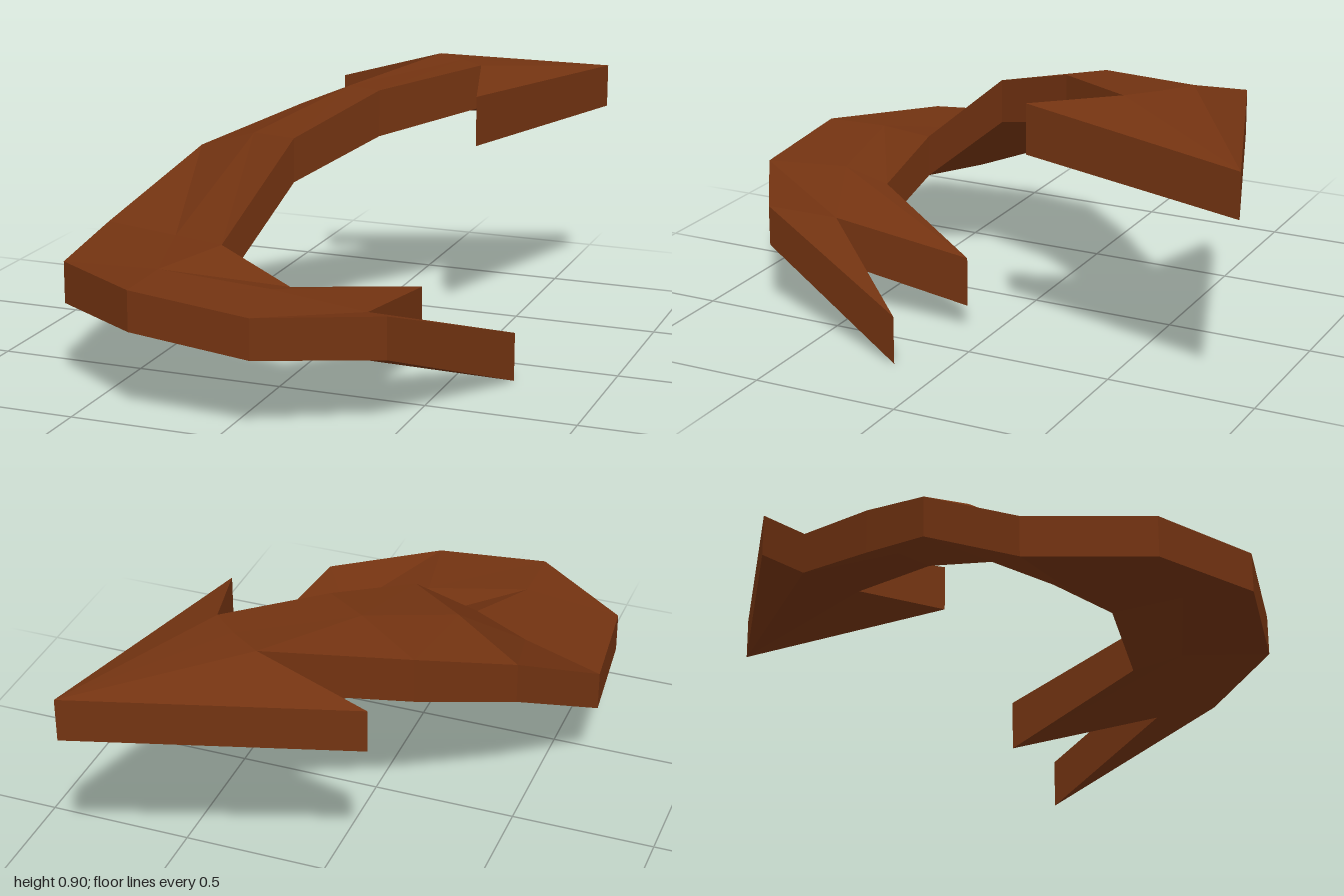
import * as THREE from 'three';

// Plan corners of the bent hook: [x, z, top y, bottom y]
const corners = {
  // arrow head
  tip: [0.68, -1.0, 0.83, 0.68], barbL: [-0.22, -0.67, 0.79, 0.64], barbR: [0.44, -0.18, 0.86, 0.69],
  neckL: [0.16, -0.635, 0.905, 0.75], neck: [0.27, -0.56, 0.905, 0.76], neckR: [0.36, -0.48, 0.905, 0.755],
  // shaft, three corners per station: outer edge, ridge, inner edge
  o1: [-0.24, -0.3, 0.76, 0.6], r1: [-0.04, -0.24, 0.85, 0.69], i1: [0.1, -0.16, 0.86, 0.7],
  o2: [-0.51, -0.04, 0.645, 0.5], r2: [-0.27, 0.06, 0.73, 0.58], i2: [-0.08, 0.17, 0.75, 0.6],
  o3: [-0.7, 0.31, 0.44, 0.3], r3: [-0.4, 0.42, 0.45, 0.31], i3: [-0.19, 0.52, 0.465, 0.32],
  // curved base
  b1: [-0.65, 0.735, 0.42, 0.28], b2: [-0.3, 0.99, 0.435, 0.3], b3: [0.11, 1.0, 0.395, 0.26],
  b4: [0.47, 0.775, 0.375, 0.235], m1: [-0.3, 0.765, 0.44, 0.3], m2: [0.06, 0.715, 0.4, 0.26],
  notch: [0.34, 0.59, 0.32, 0.16], crook: [0.06, 0.55, 0.36, 0.22],
  // prong tips
  prongOuter: [0.695, 0.17, 0.165, 0], prongInner: [0.345, 0.085, 0.26, 0.09],
};

// Panels of each part, counter-clockwise seen from above
const parts = {
  arrowHead: ['tip barbL neckL', 'tip neckL neck', 'tip neck neckR', 'tip neckR barbR'],
  shaft: [
    'neckL o1 r1 neck', 'neck r1 i1 neckR',
    'o1 o2 r2 r1', 'r1 r2 i2 i1',
    'o2 o3 r3 r2', 'r2 r3 i3 i2',
  ],
  curvedBase: [
    'o3 b1 m1', 'o3 m1 r3', 'r3 m1 i3', 'b1 b2 m1',
    'b2 b3 m2 m1', 'b3 b4 notch m2', 'm1 m2 crook i3',
  ],
  outerProng: ['b4 prongOuter notch'],
  innerProng: ['m2 notch prongInner', 'm2 prongInner crook'],
};

const top = (k) => [corners[k][0], corners[k][2], corners[k][1]];
const bottom = (k) => [corners[k][0], corners[k][3], corners[k][1]];

export function createModel() {
  const group = new THREE.Group();
  group.name = 'hookedArrow';
  const brown = new THREE.MeshStandardMaterial({ color: 0x733311, flatShading: true });
  brown.name = 'rust brown';

  const panels = Object.fromEntries(
    Object.entries(parts).map(([name, list]) => [name, list.map((p) => p.split(' '))]));
  const edgesOf = (p) => p.map((k, i) => [k, p[(i + 1) % p.length]]);
  const edges = new Set(Object.values(panels).flat().flatMap(edgesOf).map((e) => e.join('>')));

  for (const [name, list] of Object.entries(panels)) {
    const positions = [];
    const fan = (pts) => {
      for (let i = 1; i < pts.length - 1; i++) positions.push(...pts[0], ...pts[i], ...pts[i + 1]);
    };
    for (const p of list) {
      fan(p.map(top));
      // same split as the top, with the winding turned over
      fan([p[0], ...p.slice(1).reverse()].map(bottom));
      // side walls only along the outline
      for (const [a, b] of edgesOf(p)) {
        if (!edges.has(b + '>' + a)) fan([bottom(a), bottom(b), top(b), top(a)]);
      }
    }
    const geometry = new THREE.BufferGeometry();
    geometry.setAttribute('position', new THREE.Float32BufferAttribute(positions, 3));
    geometry.computeVertexNormals();
    const mesh = new THREE.Mesh(geometry, brown);
    mesh.name = name;
    group.add(mesh);
  }
  return group;
}
